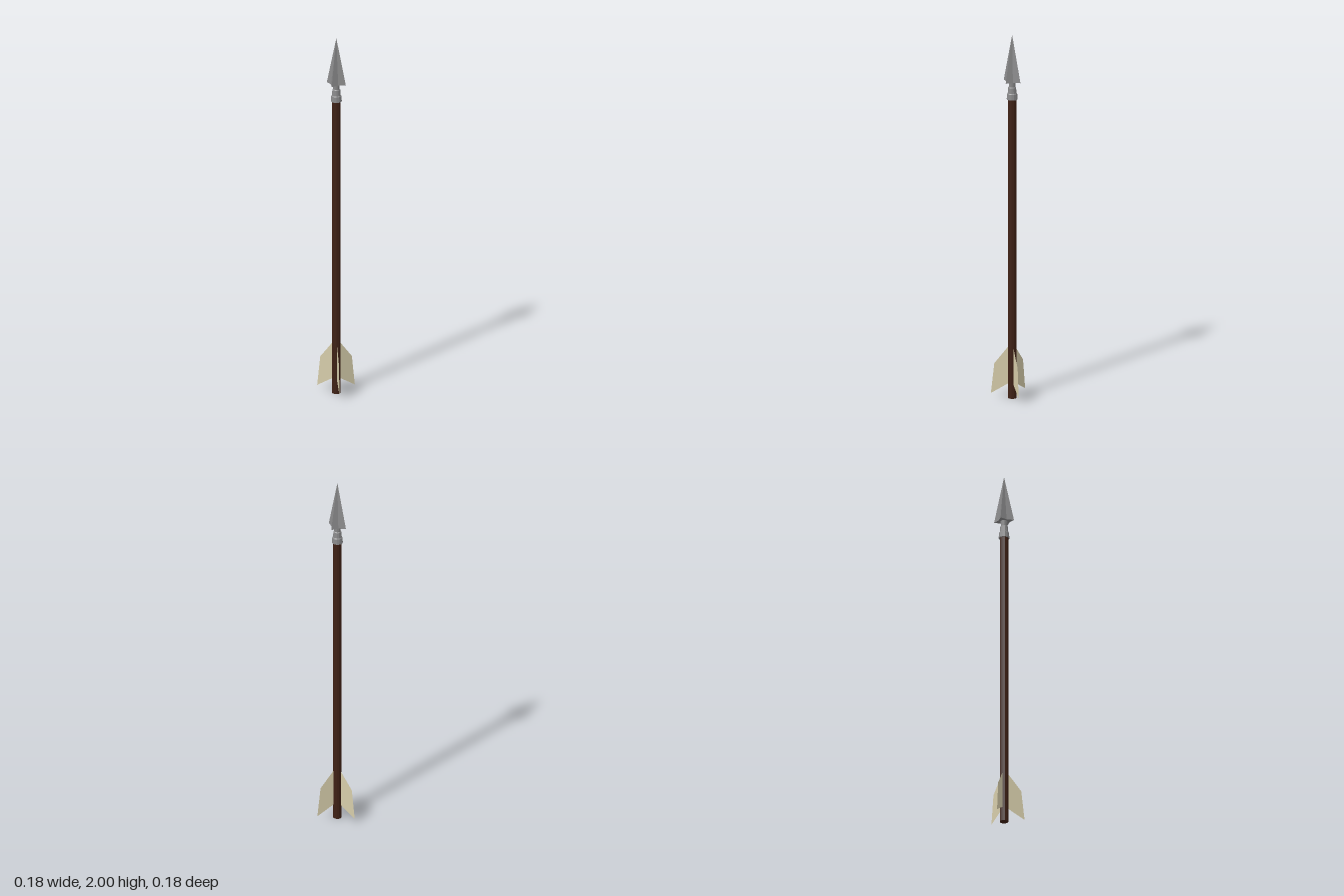
import * as THREE from 'three';

const material = (name, color, extra = {}) => {
  const m = new THREE.MeshStandardMaterial({ color, ...extra });
  m.name = name;
  return m;
};

export function createModel() {
  const wood = material('dark wood', 0x3f2115, { flatShading: true });
  const metal = material('grey metal', 0x8a8a8b, { flatShading: true });
  const vane = material('cream feather', 0xd6cdaa, { side: THREE.DoubleSide });

  const arrow = new THREE.Group();
  arrow.name = 'arrow';
  arrow.position.x = 0.0235;
  const add = (name, geometry, mat) => {
    const mesh = new THREE.Mesh(geometry, mat);
    mesh.name = name;
    arrow.add(mesh);
    return mesh;
  };

  // Faceted wooden shaft
  const shaft = new THREE.CylinderGeometry(0.023, 0.023, 1.66, 12);
  add('shaft', shaft, wood).position.y = 0.83;

  // Stepped metal socket joining shaft and head
  const socket = [
    [0, 1.645], [0.029, 1.645], [0.027, 1.675], [0.023, 1.68],
    [0.021, 1.71], [0.017, 1.714], [0.019, 1.75], [0, 1.75],
  ].map(([r, y]) => new THREE.Vector2(r, y));
  add('socket', new THREE.LatheGeometry(socket, 12), metal);

  // Four-bladed head: an eight-sided cone with its diagonal corners drawn in
  const head = new THREE.ConeGeometry(0.0555, 0.257, 8);
  const p = head.attributes.position;
  for (let i = 0; i < p.count; i++) {
    if (Math.abs(p.getX(i)) > 0.001 && Math.abs(p.getZ(i)) > 0.001) {
      p.setX(i, Math.sign(p.getX(i)) * 0.0215);
      p.setZ(i, Math.sign(p.getZ(i)) * 0.0215);
    }
  }
  head.computeVertexNormals();
  add('arrowhead', head, metal).position.y = 1.8715;

  // Three thin swept feathers around the tail
  const outline = [[0.015, 0.082], [0.112, 0.024], [0.094, 0.188], [0.026, 0.275], [0.015, 0.285]]
    .map(([r, y]) => new THREE.Vector2(r, y));
  const feather = new THREE.ShapeGeometry(new THREE.Shape(outline));
  [180, 55.5, -55.5].forEach((deg, i) => {
    add(`feather${i + 1}`, feather, vane).rotation.y = THREE.MathUtils.degToRad(deg);
  });

  const model = new THREE.Group();
  model.name = 'model';
  model.add(arrow);
  return model;
}
